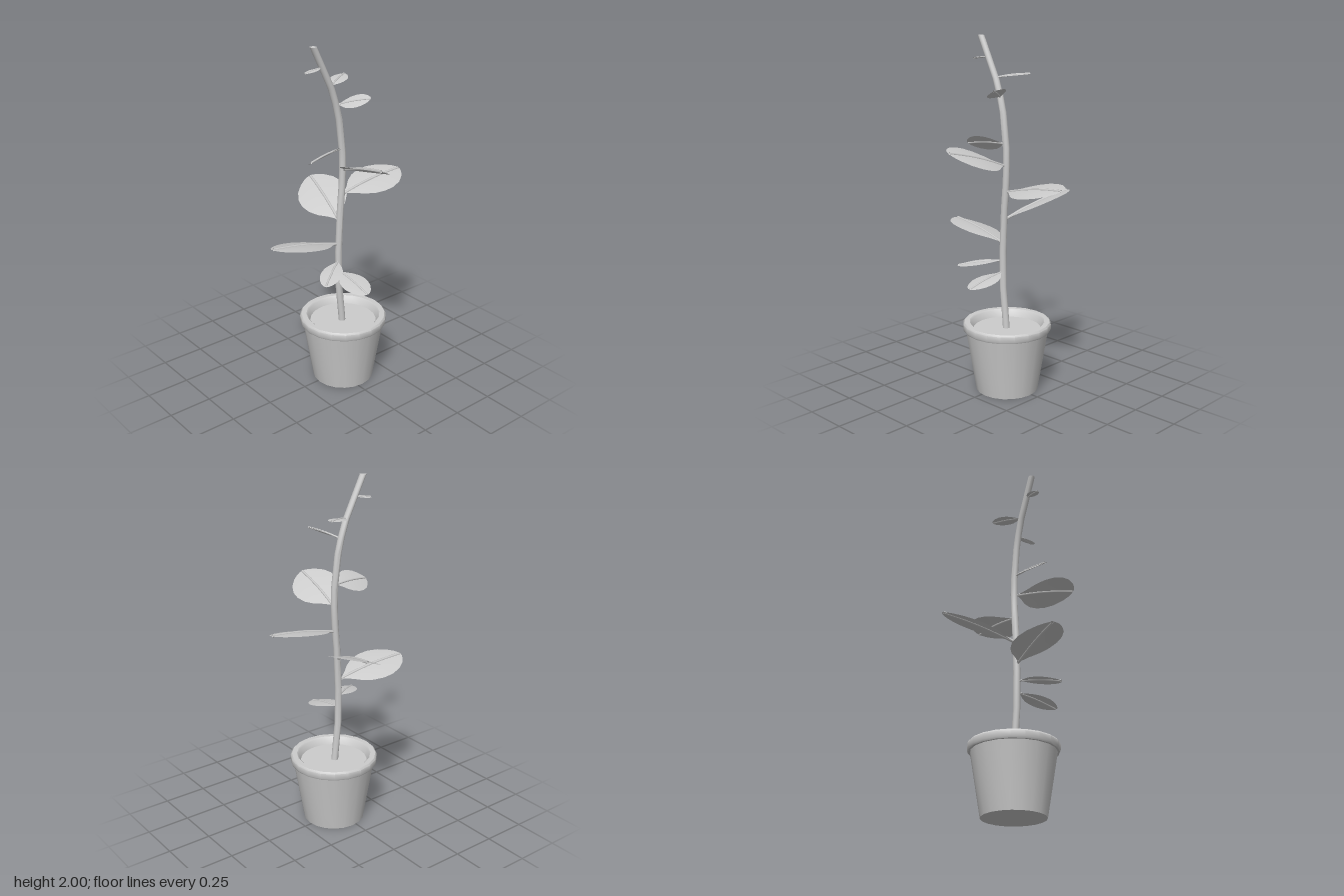
import * as THREE from 'three';
import { toCreasedNormals } from 'three/addons/utils/BufferGeometryUtils.js';

const material = new THREE.MeshStandardMaterial({ color: 0xcccccc });
const leafMaterial = new THREE.MeshStandardMaterial({ color: 0xcccccc, side: THREE.DoubleSide });
const STEM_X = 0.015;
const POT = [0.016, 0, -0.027];

// Stem centre line as [y, z], bottom to top
const STEM = [[0.34, -0.022], [0.41, -0.016], [0.6, 0.004], [0.81, 0.006], [1.05, -0.005],
  [1.2, -0.018], [1.3, -0.022], [1.4, -0.02], [1.59, 0.004], [1.68, 0.027], [1.77, 0.058], [2, 0.173]];

// Half-width of a leaf along its length, as [t, fraction]
const OUTLINE = [[0, 0.04], [0.08, 0.09], [0.16, 0.3], [0.26, 0.62], [0.38, 0.87], [0.52, 1],
  [0.66, 0.99], [0.8, 0.83], [0.91, 0.56], [0.97, 0.32], [1, 0.1]];

function lookUp(table, t) {
  for (let i = 1; i < table.length; i++) {
    const [a, va] = table[i - 1], [b, vb] = table[i];
    if (t <= b) return va + (vb - va) * (t - a) / (b - a);
  }
  return table[table.length - 1][1];
}

function mesh(name, geometry, mat = material) {
  const m = new THREE.Mesh(geometry, mat);
  m.name = name;
  return m;
}

// Capped cylinder whose rows follow the stem line
function stem() {
  const rows = STEM.length - 1;
  const geo = new THREE.CylinderGeometry(0.019, 0.02, 1, 12, rows);
  const p = geo.attributes.position;
  for (let i = 0; i < p.count; i++) {
    const [y, z] = STEM[Math.round((p.getY(i) + 0.5) * rows)];
    p.setXYZ(i, p.getX(i) + STEM_X, y, p.getZ(i) + z);
  }
  return mesh('stem', toCreasedNormals(geo, 0.8));
}

// Blade and midrib from the stem at baseY to the tip; roll lifts the left edge
function leaf(baseY, tip, width, roll) {
  const group = new THREE.Group();
  group.name = 'leaf';
  const base = new THREE.Vector3(STEM_X, baseY, lookUp(STEM, baseY));
  const axis = new THREE.Vector3(...tip).sub(base);
  const length = axis.length();
  const side = new THREE.Vector3(axis.z, 0, -axis.x).normalize();
  side.y = roll;
  const centre = t => base.clone().addScaledVector(axis, t)
    .add(new THREE.Vector3(0, 0.03 * length * Math.sin(Math.PI * t), 0));

  const blade = new THREE.PlaneGeometry(1, 1, 4, OUTLINE.length - 1);
  const { position: p, uv } = blade.attributes;
  for (let i = 0; i < p.count; i++) {
    const [t, w] = OUTLINE[Math.round(uv.getY(i) * (OUTLINE.length - 1))];
    const s = 1 - 2 * uv.getX(i);
    const point = centre(t).addScaledVector(side, s * w * width / 2);
    point.y -= 0.04 * width * w * s * s;
    p.setXYZ(i, point.x, point.y, point.z);
  }
  blade.computeVertexNormals();

  const path = new THREE.CatmullRomCurve3([0, 0.25, 0.5, 0.75, 0.985].map(centre));
  const radius = 0.003 + 0.012 * length;
  const rib = new THREE.TubeGeometry(path, 8, radius, 6);
  group.add(mesh('blade', blade, leafMaterial), mesh('midrib', rib, leafMaterial));
  return group;
}

export function createModel() {
  const model = new THREE.Group();
  model.name = 'pottedPlant';

  // Tapered pot with a rounded rim
  const profile = [[0, 0], [0.177, 0], [0.235, 0.355], [0.246, 0.355], [0.251, 0.365], [0.251, 0.395],
    [0.243, 0.405], [0.214, 0.405], [0.206, 0.398], [0.19, 0.355]].map(([r, y]) => new THREE.Vector2(r, y));
  const pot = mesh('pot', toCreasedNormals(new THREE.LatheGeometry(profile, 20), 0.7), leafMaterial);
  pot.position.set(...POT);

  const soil = mesh('soil', new THREE.CircleGeometry(0.194, 20).rotateX(-Math.PI / 2));
  soil.position.set(POT[0], 0.362, POT[2]);
  model.add(pot, soil, stem());

  // Leaves: height on the stem, tip, width, roll
  const leaves = [
    [0.69, [0.27, 0.64, 0.01], 0.16, 0.05],
    [0.755, [0.165, 0.715, 0.22], 0.12, 0],
    [0.855, [-0.03, 0.93, 0.43], 0.27, 0.2],
    [0.99, [-0.395, 1.12, -0.115], 0.27, -0.3],
    [1.15, [0.024, 1.215, -0.432], 0.25, 0.2],
    [1.295, [0.393, 1.405, 0.033], 0.245, -0.35],
    [1.42, [0.062, 1.405, 0.235], 0.13, 0.7],
    [1.67, [0.172, 1.72, -0.08], 0.1, 0.45],
    [1.775, [-0.08, 1.8, -0.11], 0.095, 0],
    [1.885, [0.018, 1.872, 0.23], 0.06, 0.1],
  ];
  for (const args of leaves) model.add(leaf(...args));
  return model;
}
